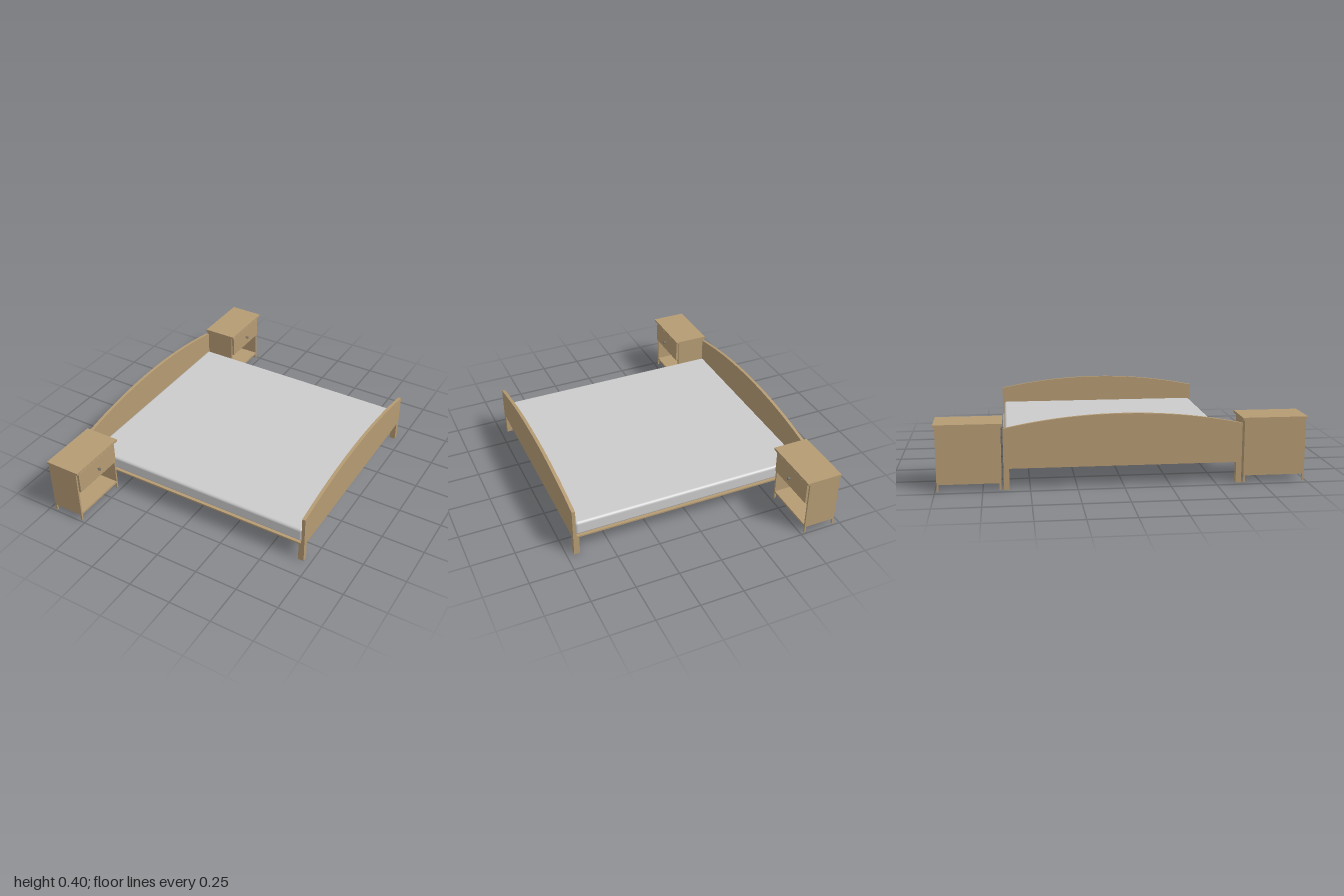
import * as THREE from 'three';
import { RoundedBoxGeometry } from 'three/addons/geometries/RoundedBoxGeometry.js';

const wood = new THREE.MeshStandardMaterial({ color: 0xb59b73 });
const fabric = new THREE.MeshStandardMaterial({ color: 0xcccccc });

function add(parent, name, geometry, material = wood) {
  const mesh = new THREE.Mesh(geometry, material);
  mesh.name = name;
  parent.add(mesh);
  return mesh;
}

// Box given by its limits on each axis
function box(parent, name, x0, x1, y0, y1, z0, z1) {
  const mesh = add(parent, name, new THREE.BoxGeometry(x1 - x0, y1 - y0, z1 - z0));
  mesh.position.set((x0 + x1) / 2, (y0 + y1) / 2, (z0 + z1) / 2);
  return mesh;
}

// End board with an arched top, plus its two short legs
function endBoard(name, x0, x1, legX0, legX1, sideY, topY) {
  const group = new THREE.Group();
  group.name = name;
  const half = 0.64, rise = topY - sideY;
  const radius = (half * half + rise * rise) / (2 * rise);
  const angle = Math.asin(half / radius);
  const shape = new THREE.Shape();
  shape.moveTo(-half, 0.115);
  shape.lineTo(half, 0.115);
  shape.lineTo(half, sideY);
  shape.absarc(0, topY - radius, radius, Math.PI / 2 - angle, Math.PI / 2 + angle, false);
  shape.closePath();
  const geometry = new THREE.ExtrudeGeometry(shape, { depth: x1 - x0, bevelEnabled: false, curveSegments: 32 });
  geometry.rotateY(Math.PI / 2);
  add(group, 'archedPanel', geometry).position.x = x0;
  for (const s of [-1, 1]) {
    box(group, 'bedLeg', legX0, legX1, 0, 0.115, s * 0.625 - 0.015, s * 0.625 + 0.015);
  }
  return group;
}

// Bedside cabinet: closed sides and back, drawer above an open shelf
function nightstand(name, side) {
  const group = new THREE.Group();
  group.name = name;
  const back = -0.714, front = -0.524, w = 0.169, t = 0.01;
  box(group, 'cabinetTop', back, -0.504, 0.344, 0.358, -0.179, 0.179);
  box(group, 'backPanel', back, back + t, 0.038, 0.344, -w + t, w - t);
  box(group, 'bottomShelf', back + t, front, 0.038, 0.05, -w + t, w - t);
  box(group, 'middleShelf', back + t, front, 0.198, 0.207, -w + t, w - t);
  box(group, 'topRail', front - t, front, 0.333, 0.344, -w + t, w - t);
  for (const s of [-1, 1]) {
    const z = s * (w - t / 2);
    box(group, 'sidePanel', back, front, 0.038, 0.344, z - t / 2, z + t / 2);
    for (const x of [back, front - t]) {
      box(group, 'cabinetLeg', x, x + t, 0, 0.038, z - t / 2, z + t / 2);
    }
  }
  // Drawer
  box(group, 'drawerFront', front - 0.004, -0.512, 0.207, 0.333, -0.158, 0.158);
  const knobProfile = [[0, 0], [0.004, 0], [0.004, 0.008], [0.008, 0.01], [0.008, 0.018], [0.006, 0.02], [0, 0.02]]
    .map(([r, h]) => new THREE.Vector2(r, h));
  const knob = add(group, 'drawerKnob', new THREE.LatheGeometry(knobProfile, 16), fabric.clone());
  knob.material.color.set(0x77736c);
  knob.rotation.z = -Math.PI / 2;
  knob.position.set(-0.512, 0.268, 0);
  group.position.z = side * 0.821;
  return group;
}

export function createModel() {
  const model = new THREE.Group();
  model.name = 'bedWithNightstands';

  // Bed
  model.add(endBoard('headboard', -0.714, -0.696, -0.714, -0.681, 0.33, 0.398));
  model.add(endBoard('footboard', 0.691, 0.71, 0.676, 0.71, 0.296, 0.364));
  box(model, 'bedBase', -0.696, 0.691, 0.113, 0.122, -0.64, 0.64);
  const mattress = add(model, 'mattress', new RoundedBoxGeometry(1.386, 0.084, 1.26, 4, 0.016), fabric);
  mattress.position.set(-0.003, 0.163, 0);

  // Cabinets on both sides of the headboard
  model.add(nightstand('leftNightstand', 1), nightstand('rightNightstand', -1));
  return model;
}
